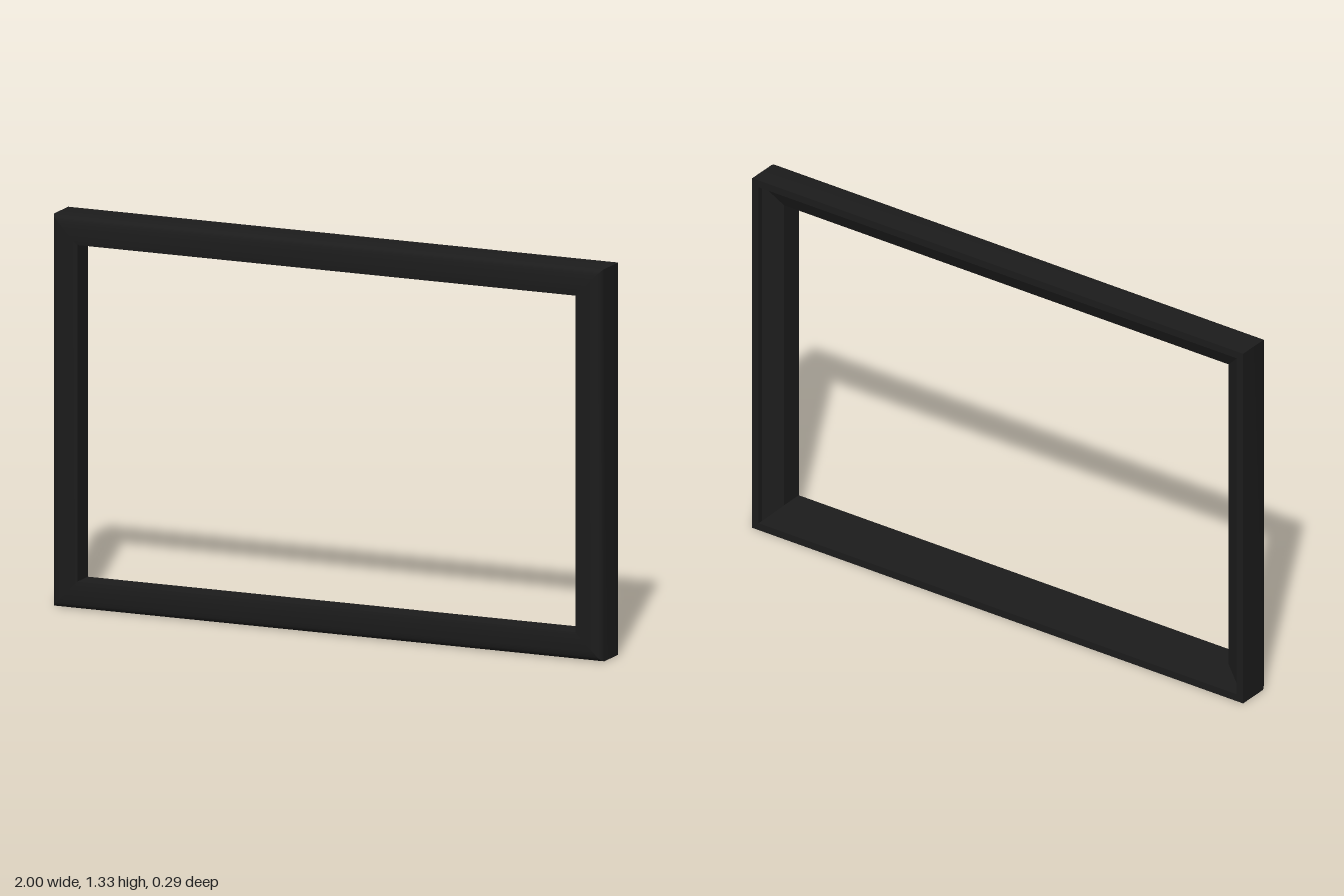
import * as THREE from 'three';
import { toCreasedNormals } from 'three/addons/utils/BufferGeometryUtils.js';

const WIDTH = 1.999, HEIGHT = 1.325;

// Moulding section: [distance inward from the outer edge, depth], back to front and round again
const PROFILE = [
  [0, -0.065], [0, 0.044], [0.002, 0.053], [0.007, 0.061],
  [0.016, 0.065], [0.032, 0.067], [0.055, 0.069], [0.08, 0.069],
  [0.094, 0.067], [0.094, -0.016], // face and inner edge of the opening
  [0.026, -0.045], [0.026, -0.065], // sloping back and raised rim
];
const CORNERS = [[-1, -1], [1, -1], [1, 1], [-1, 1]];

// One mitred rail running between two neighbouring corners
function railGeometry(from, to) {
  const at = ([sx, sy], [u, z]) => [sx * (WIDTH / 2 - u), HEIGHT / 2 + sy * (HEIGHT / 2 - u), z];
  const positions = [];
  PROFILE.forEach((p, i) => {
    const q = PROFILE[(i + 1) % PROFILE.length];
    const a = at(from, p), b = at(to, p), c = at(to, q), d = at(from, q);
    positions.push(...a, ...b, ...c, ...a, ...c, ...d);
  });
  const geometry = new THREE.BufferGeometry();
  geometry.setAttribute('position', new THREE.Float32BufferAttribute(positions, 3));
  return toCreasedNormals(geometry, 0.7);
}

export function createModel() {
  const black = new THREE.MeshStandardMaterial({ color: 0x1c1c1c });
  black.name = 'black frame';

  const frame = new THREE.Group();
  frame.name = 'pictureFrame';
  ['bottomRail', 'leftRail', 'topRail', 'rightRail'].forEach((name, i) => {
    const rail = new THREE.Mesh(railGeometry(CORNERS[i], CORNERS[(i + 1) % 4]), black);
    rail.name = name;
    frame.add(rail);
  });

  // The frame stands turned slightly about the vertical
  frame.rotation.y = 0.08;

  const model = new THREE.Group();
  model.name = 'model';
  model.add(frame);
  return model;
}
